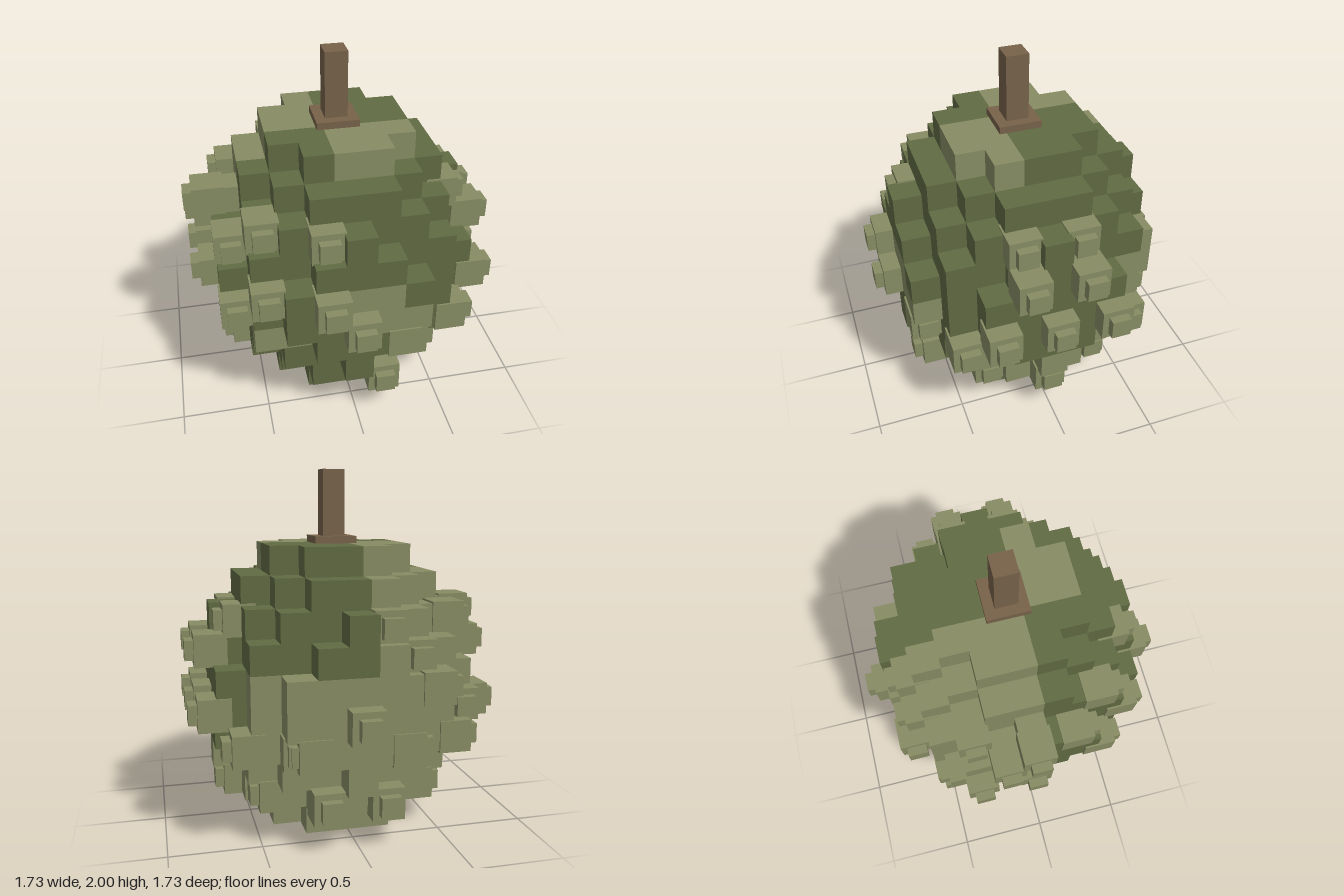
import * as THREE from 'three';
import { mergeGeometries } from 'three/addons/utils/BufferGeometryUtils.js';

const S = 0.159; // cell size
const LAYERS = 10;

const dark = new THREE.MeshStandardMaterial({ color: 0x616b43 });
dark.name = 'dark green rind';
const light = new THREE.MeshStandardMaterial({ color: 0x888d64 });
light.name = 'light green rind';
const brown = new THREE.MeshStandardMaterial({ color: 0x78634a });
brown.name = 'brown stem';

// Stepped ellipsoid: i and k count from the axis, j counts layers from the ground
const inside = (i, j, k) =>
  j >= 0 && j < LAYERS && i * i + k * k <= 21.5 - 0.8 * (j - 4.5) ** 2;

// Light patches on the rind
function isLight(i, j, k) {
  const backLeft = i < 0 && k <= 0;
  if (j === 9) return (i >= 0) === (k >= 1);
  if (j === 0) return k <= 0;
  if (j <= 2) return backLeft || (i >= 0 && k <= 2);
  if (j === 3 && k >= 3 && i <= -2) return true;
  if ((j === 4 || j === 5) && k >= 3 && i >= 0 && i <= 6 - j) return true;
  if (j <= 5) return backLeft || k <= -3;
  return backLeft;
}

// One outward cell face in each of the six directions
const DIRECTIONS = [
  [1, 0, 0], [-1, 0, 0], [0, 1, 0], [0, -1, 0], [0, 0, 1], [0, 0, -1],
].map((d) => {
  const face = new THREE.PlaneGeometry(S, S).translate(0, 0, S / 2);
  const q = new THREE.Quaternion().setFromUnitVectors(
    new THREE.Vector3(0, 0, 1), new THREE.Vector3(...d));
  if (d[2] === -1) q.setFromAxisAngle(new THREE.Vector3(0, 1, 0), Math.PI);
  return { d, face: face.applyQuaternion(q) };
});

function addBody(group) {
  const faces = { dark: [], light: [] };
  for (let j = 0; j < LAYERS; j++)
    for (let i = -4; i <= 4; i++)
      for (let k = -4; k <= 4; k++) {
        if (!inside(i, j, k)) continue;
        const list = isLight(i, j, k) ? faces.light : faces.dark;
        for (const { d, face } of DIRECTIONS)
          if (!inside(i + d[0], j + d[1], k + d[2]))
            list.push(face.clone().translate(i * S, (j + 0.5) * S, k * S));
      }
  for (const [name, mat] of [['dark', dark], ['light', light]]) {
    const mesh = new THREE.Mesh(mergeGeometries(faces[name]), mat);
    mesh.name = name + 'Rind';
    group.add(mesh);
  }
}

// Spike cells as [across, layer] for each side of the fruit
const SPIKES = [
  { name: 'frontSpike', axis: 'z', sign: 1, cells: [
    [-3, 7], [-1, 7], [-4, 6], [-3, 5], [-1, 5], [-4, 4], [0, 4], [1, 1]] },
  { name: 'backSpike', axis: 'z', sign: -1, cells: [
    [-1, 7], [-2, 6], [0, 4], [-4, 4], [-2, 3], [2, 3], [-1, 1], [1, 1]] },
  { name: 'leftSpike', axis: 'x', sign: 1, cells: [
    [1, 7], [-1, 7], [1, 6], [-1, 6], [2, 4], [0, 4], [-2, 4],
    [4, 3], [3, 3], [-3, 3], [-4, 3], [2, 1], [0, 1], [-2, 1]] },
  { name: 'rightSpike', axis: 'x', sign: -1, cells: [
    [0, 7], [-2, 7], [-1, 6], [-4, 5], [0, 4], [-2, 4],
    [-3, 3], [-4, 3], [0, 1], [-2, 1]] },
];

// Each spike is a cube sunk into the rind with a smaller cube at its tip
function addSpikes(group) {
  const base = new THREE.BoxGeometry(0.18, 0.18, 0.18);
  const tip = new THREE.BoxGeometry(0.11, 0.11, 0.11);
  for (const { name, axis, sign, cells } of SPIKES)
    for (const [across, j] of cells) {
      let reach = 4;
      while (reach > 0 && !inside(across, j, reach)) reach--;
      const surface = (reach + 0.5) * S;
      const spike = new THREE.Group();
      spike.name = name;
      for (const [geo, out, part] of [[base, 0.01, 'spikeBase'], [tip, 0.093, 'spikeTip']]) {
        const mesh = new THREE.Mesh(geo, light);
        mesh.name = part;
        mesh.position.y = (j + 0.5) * S;
        mesh.position[axis] = sign * (surface + out);
        mesh.position[axis === 'x' ? 'z' : 'x'] = across * S;
        spike.add(mesh);
      }
      group.add(spike);
    }
}

function addStem(group) {
  const top = LAYERS * S;
  for (const [name, w, y0, y1] of [
    ['stemCollar', 0.236, top, 1.63], ['stem', 0.125, 1.63, 2]]) {
    const mesh = new THREE.Mesh(new THREE.BoxGeometry(w, y1 - y0, w), brown);
    mesh.name = name;
    mesh.position.y = (y0 + y1) / 2;
    group.add(mesh);
  }
}

export function createModel() {
  const group = new THREE.Group();
  group.name = 'spikyFruit';
  addBody(group);
  addSpikes(group);
  addStem(group);
  return group;
}
